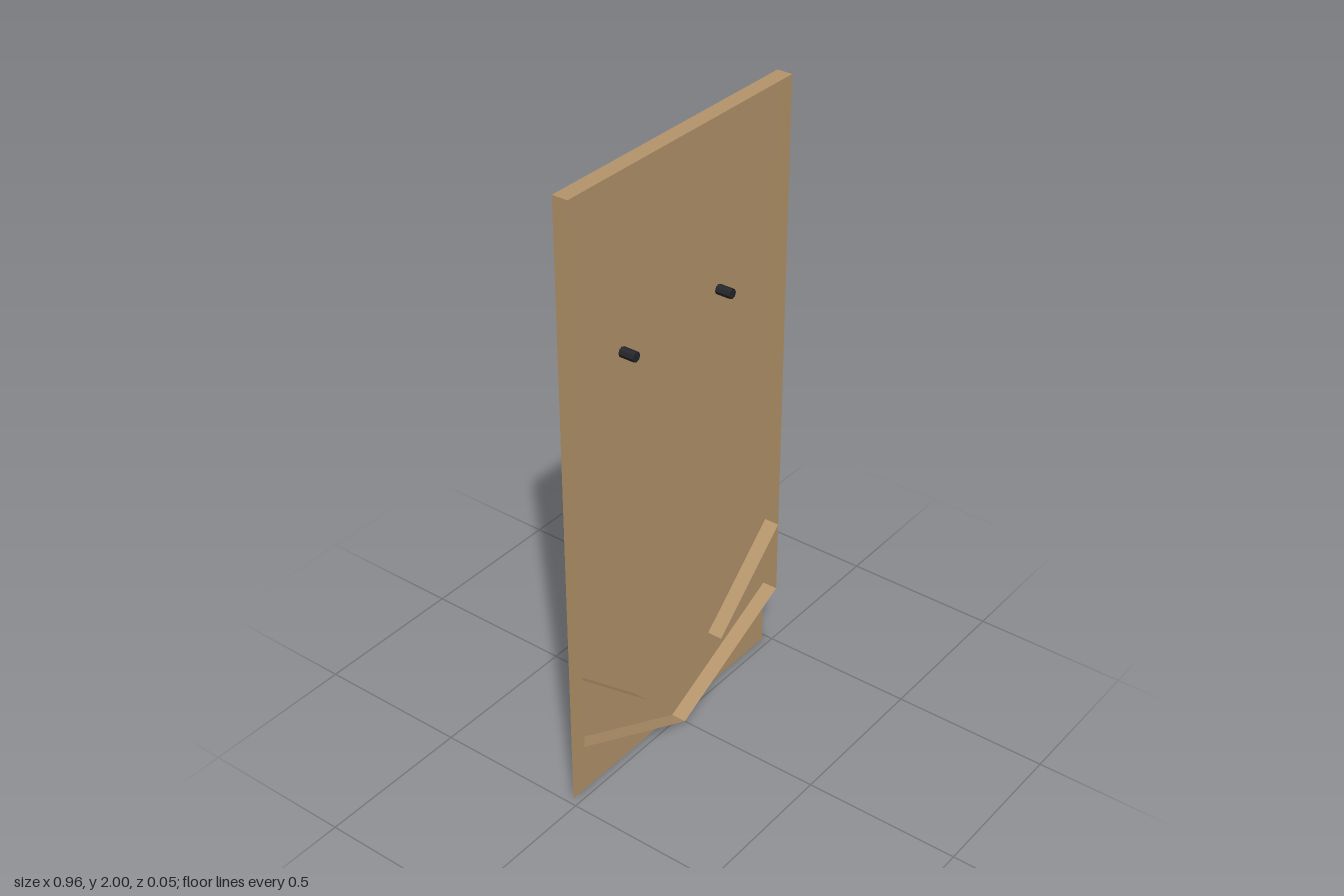
import * as THREE from 'three';

const W = 0.48, H = 2, D = 0.05; // half width, height, depth
const SHOULDER = 0.23;           // height where the side walls meet the V floor

export function createModel() {
  const wood = new THREE.MeshStandardMaterial({ color: 0xb5956b, side: THREE.DoubleSide, flatShading: true });
  wood.name = 'wood';
  const black = new THREE.MeshStandardMaterial({ color: 0x25262a, flatShading: true });
  black.name = 'black';

  const model = new THREE.Group();
  model.name = 'shallowTray';
  const add = (name, geometry, material) => {
    const mesh = new THREE.Mesh(geometry, material);
    mesh.name = name;
    model.add(mesh);
    return mesh;
  };

  // Thin sheet running from one point to another, as deep as the tray
  const strip = (name, x0, y0, x1, y1) => {
    const geometry = new THREE.PlaneGeometry(Math.hypot(x1 - x0, y1 - y0), D);
    geometry.rotateX(-Math.PI / 2);
    const mesh = add(name, geometry, wood);
    mesh.position.set((x0 + x1) / 2, (y0 + y1) / 2, 0);
    mesh.rotation.z = Math.atan2(y1 - y0, x1 - x0);
  };

  // Back panel and top wall
  add('backPanel', new THREE.PlaneGeometry(2 * W, H), wood).position.set(0, H / 2, -D / 2);
  strip('topWall', -W, H, W, H);

  for (const [side, s] of [['left', 1], ['right', -1]]) {
    // Outer walls: upright side and sloping half of the V floor
    strip(`${side}Wall`, s * W, H, s * W, SHOULDER);
    strip(`${side}Floor`, s * W, SHOULDER, 0, 0);
    // Inner funnel guide
    strip(`${side}Guide`, s * W, 0.48, s * 0.185, 0.21);
    // Round peg
    const peg = add(`${side}Peg`, new THREE.CylinderGeometry(0.016, 0.016, D, 8).rotateX(Math.PI / 2), black);
    peg.position.set(s * 0.217, 1.425, 0);
  }
  return model;
}
